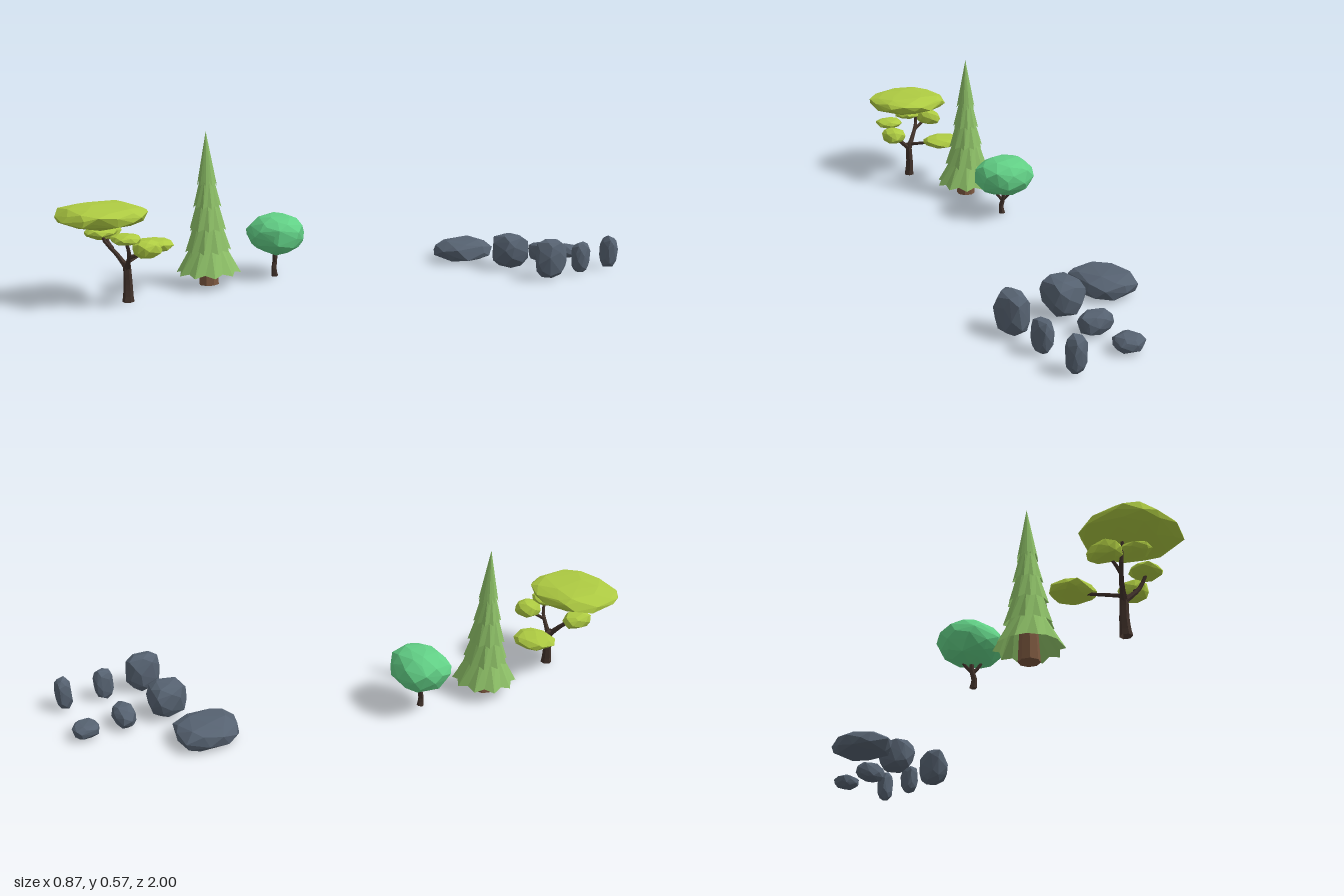
import * as THREE from 'three';
import { ConvexGeometry } from 'three/addons/geometries/ConvexGeometry.js';

const material = (name, color, extra = {}) => {
  const m = new THREE.MeshStandardMaterial({ color, ...extra });
  m.name = name;
  return m;
};

// small seeded generator, returns values in 0..1
function seeded(seed) {
  let s = seed * 7919 + 17;
  return () => {
    s = (s * 16807) % 2147483647;
    return s / 2147483647;
  };
}

// faceted convex lump that exactly fills the box [x0,x1] [y0,y1] [z0,z1]
function lump([x0, x1, y0, y1, z0, z1], count, boxiness, seed) {
  const rand = seeded(seed);
  for (let i = 0; i < 5; i++) rand();
  const turn = rand() * 6;
  const soft = (v) => Math.sign(v) * Math.pow(Math.abs(v), boxiness);
  const points = [];
  for (let i = 0; i < count; i++) {
    const y = 1 - (2 * (i + 0.5)) / count;
    const a = i * 2.39996 + turn + (rand() - 0.5) * 0.5;
    const r = Math.sqrt(1 - y * y);
    const k = 0.93 + rand() * 0.12;
    points.push(new THREE.Vector3(soft(r * Math.cos(a)) * k, soft(y) * k, soft(r * Math.sin(a)) * k));
  }
  const box = new THREE.Box3().setFromPoints(points);
  const size = box.getSize(new THREE.Vector3());
  for (const p of points) {
    p.sub(box.min).divide(size);
    p.set(x0 + p.x * (x1 - x0), y0 + p.y * (y1 - y0), z0 + p.z * (z1 - z0));
  }
  return new ConvexGeometry(points);
}

// tapered six-sided limb along a smooth path
function limb(path, r0, r1) {
  const curve = new THREE.CatmullRomCurve3(path.map((p) => new THREE.Vector3(...p)));
  const segments = 7, sides = 6;
  const geo = new THREE.TubeGeometry(curve, segments, 1, sides);
  const pos = geo.attributes.position;
  const v = new THREE.Vector3();
  for (let i = 0; i < pos.count; i++) {
    const t = Math.floor(i / (sides + 1)) / segments;
    const centre = curve.getPointAt(t);
    v.fromBufferAttribute(pos, i).sub(centre).multiplyScalar(r0 + (r1 - r0) * Math.sqrt(t)).add(centre);
    pos.setXYZ(i, v.x, Math.max(v.y, 0), v.z);
  }
  return geo;
}

// pine skirt with a pointed hem
function skirt(y0, y1, rBottom, rTop, turn) {
  const sides = 20;
  const h = y1 - y0;
  const geo = new THREE.CylinderGeometry(rTop, rBottom, h, sides, 1, true);
  const pos = geo.attributes.position;
  for (let i = 0; i < pos.count; i++) {
    if (pos.getY(i) > 0) continue;
    const step = i % (sides + 1);
    if (step % 2) {
      pos.setXYZ(i, pos.getX(i) * 0.87, pos.getY(i) + h * 0.1, pos.getZ(i) * 0.87);
    }
  }
  return geo.rotateY(turn).translate(0, y0 + h / 2, 0);
}

export function createModel() {
  const flat = { flatShading: true };
  const open = { flatShading: true, side: THREE.DoubleSide };
  const stone = material('stone', 0x566271, flat);
  const darkBark = material('darkBark', 0x40312a, open);
  const pineBark = material('pineBark', 0x7b573f, flat);
  const pineGreen = material('pineGreen', 0x8cbe66, open);
  const bushGreen = material('bushGreen', 0x62d086, flat);
  const limeLeaf = material('limeLeaf', 0xaecb42, flat);

  const model = new THREE.Group();
  model.name = 'natureSet';
  const group = (name) => {
    const g = new THREE.Group();
    g.name = name;
    model.add(g);
    return g;
  };
  const add = (parent, name, geo, mat) => {
    const m = new THREE.Mesh(geo, mat);
    m.name = name;
    parent.add(m);
    return m;
  };

  // rocks
  const rocks = group('rocks');
  const rockBoxes = [
    [-0.15, 0.048, 0, 0.082, -0.71, -0.48],
    [0.113, 0.24, 0.004, 0.133, -0.715, -0.58],
    [0.345, 0.432, 0.003, 0.15, -0.715, -0.58],
    [0.12, 0.24, 0.003, 0.08, -0.85, -0.77],
    [0.372, 0.43, 0.003, 0.12, -0.84, -0.765],
    [0.138, 0.233, 0.003, 0.056, -1, -0.905],
    [0.373, 0.435, 0.003, 0.13, -0.985, -0.925],
  ];
  rockBoxes.forEach((box, i) => add(rocks, 'rock' + (i + 1), lump(box, 34, 0.75, i + 3), stone));

  // pine
  const pine = group('pineTree');
  pine.position.set(-0.277, 0, 0.436);
  add(pine, 'pineTrunk', new THREE.CylinderGeometry(0.03, 0.037, 0.12, 8).translate(0, 0.064, 0), pineBark);
  const tiers = [
    [0.048, 0.15, 0.118, 0.06],
    [0.128, 0.23, 0.084, 0.05],
    [0.208, 0.31, 0.068, 0.038],
    [0.29, 0.39, 0.051, 0.026],
    [0.37, 0.567, 0.037, 0],
  ];
  tiers.forEach(([y0, y1, rb, rt], i) => add(pine, 'pineTier' + (i + 1), skirt(y0, y1, rb, rt, i * 0.25), pineGreen));

  // round tree
  const round = group('roundTree');
  add(round, 'roundTreeTrunk', limb([[-0.25, 0, 0.168], [-0.248, 0.03, 0.172], [-0.252, 0.06, 0.165], [-0.25, 0.11, 0.16]], 0.013, 0.007), darkBark);
  for (const s of [-1, 1]) {
    add(round, 'roundTreeBranch', limb([[-0.251, 0.055, 0.167], [-0.25 + s * 0.016, 0.08, 0.165 + s * 0.016], [-0.25 + s * 0.03, 0.12, 0.16 + s * 0.03]], 0.007, 0.005), darkBark);
  }
  add(round, 'roundTreeCrown', lump([-0.36, -0.137, 0.085, 0.235, 0.055, 0.265], 64, 0.92, 21), bushGreen);

  // umbrella tree
  const umbrella = group('umbrellaTree');
  const fork = [-0.233, 0.12, 0.78];
  add(umbrella, 'umbrellaTrunk', limb([[-0.232, 0, 0.78], [-0.234, 0.06, 0.778], fork, [-0.236, 0.14, 0.78]], 0.021, 0.013), darkBark);
  const branches = [
    [fork, [-0.27, 0.165, 0.8], [-0.308, 0.215, 0.83], [-0.307, 0.3, 0.84]],
    [fork, [-0.2, 0.15, 0.79], [-0.17, 0.185, 0.8], [-0.155, 0.24, 0.82]],
    [[-0.185, 0.168, 0.79], [-0.16, 0.18, 0.77], [-0.138, 0.2, 0.755]],
    [[-0.24, 0.135, 0.78], [-0.265, 0.15, 0.72], [-0.305, 0.168, 0.64]],
    [[-0.285, 0.185, 0.81], [-0.325, 0.21, 0.81], [-0.355, 0.23, 0.8]],
  ];
  branches.forEach((path, i) => add(umbrella, 'umbrellaBranch' + (i + 1), limb(path, i < 2 ? 0.013 : 0.008, 0.005), darkBark));
  const pads = [
    [-0.437, -0.122, 0.27, 0.346, 0.695, 1],
    [-0.382, -0.232, 0.15, 0.194, 0.57, 0.705],
    [-0.396, -0.312, 0.203, 0.263, 0.745, 0.86],
    [-0.322, -0.228, 0.232, 0.267, 0.8, 0.91],
    [-0.212, -0.105, 0.222, 0.256, 0.765, 0.865],
    [-0.18, -0.09, 0.17, 0.232, 0.7, 0.8],
  ];
  pads.forEach((box, i) => add(umbrella, 'leafPad' + (i + 1), lump(box, i ? 32 : 60, 0.85, i + 40), limeLeaf));

  return model;
}
